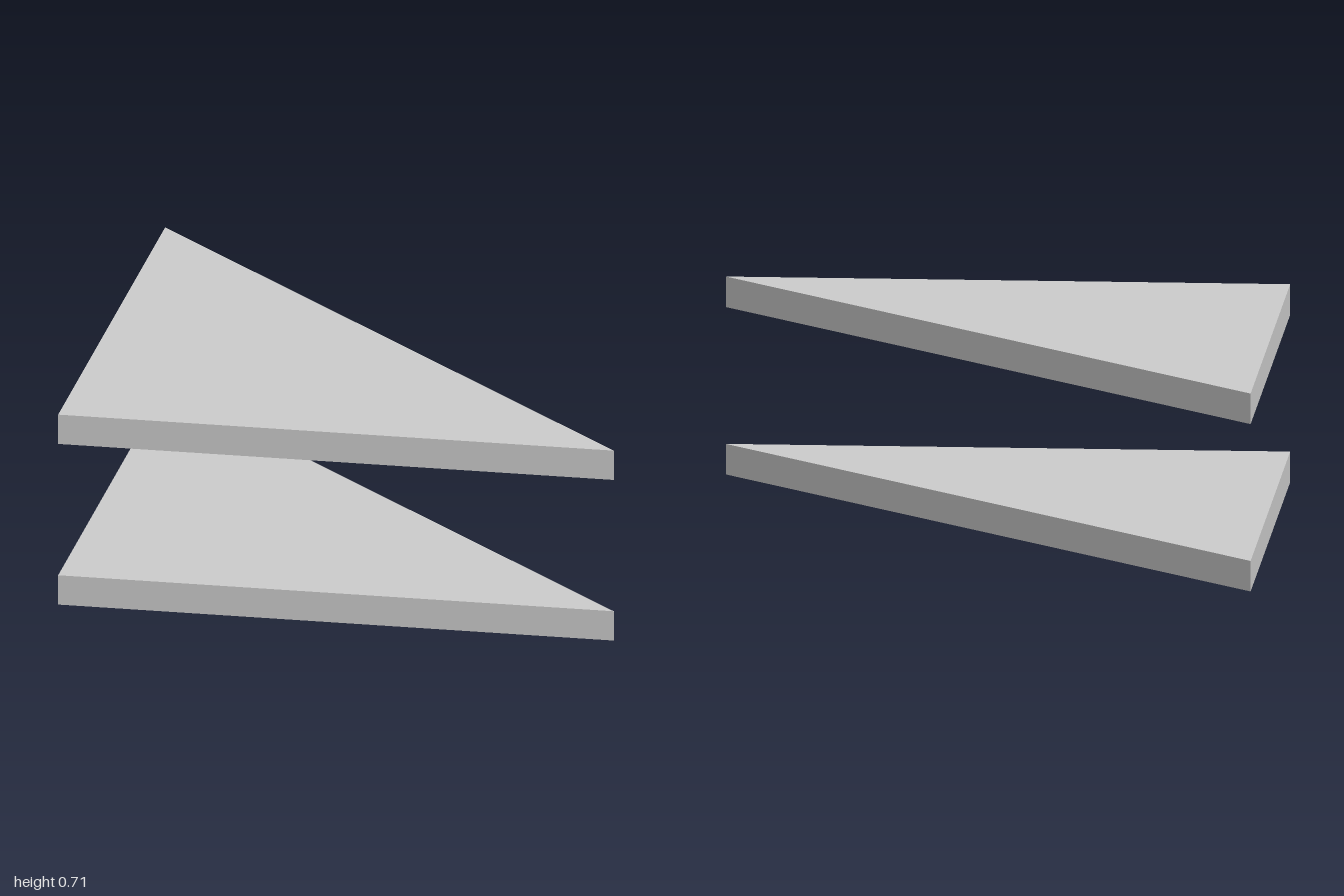
import * as THREE from 'three';

const THICKNESS = 0.11;
const SHELF_HEIGHTS = { lowerShelf: 0, upperShelf: 0.603 };

export function createModel() {
  const group = new THREE.Group();
  group.name = 'cornerShelves';
  const material = new THREE.MeshStandardMaterial({ color: 0xcccccc, flatShading: true });

  // Right-triangle board, with its square corner at the front right
  const outline = new THREE.Shape([
    new THREE.Vector2(-1, -1),
    new THREE.Vector2(1, -1),
    new THREE.Vector2(-1, 1),
  ]);
  const board = new THREE.ExtrudeGeometry(outline, { depth: THICKNESS, bevelEnabled: false });
  board.rotateX(-Math.PI / 2); // lay it flat, thickness upwards

  // Two identical boards, one above the other
  for (const [name, y] of Object.entries(SHELF_HEIGHTS)) {
    const shelf = new THREE.Mesh(board, material);
    shelf.name = name;
    shelf.position.y = y;
    group.add(shelf);
  }
  return group;
}
